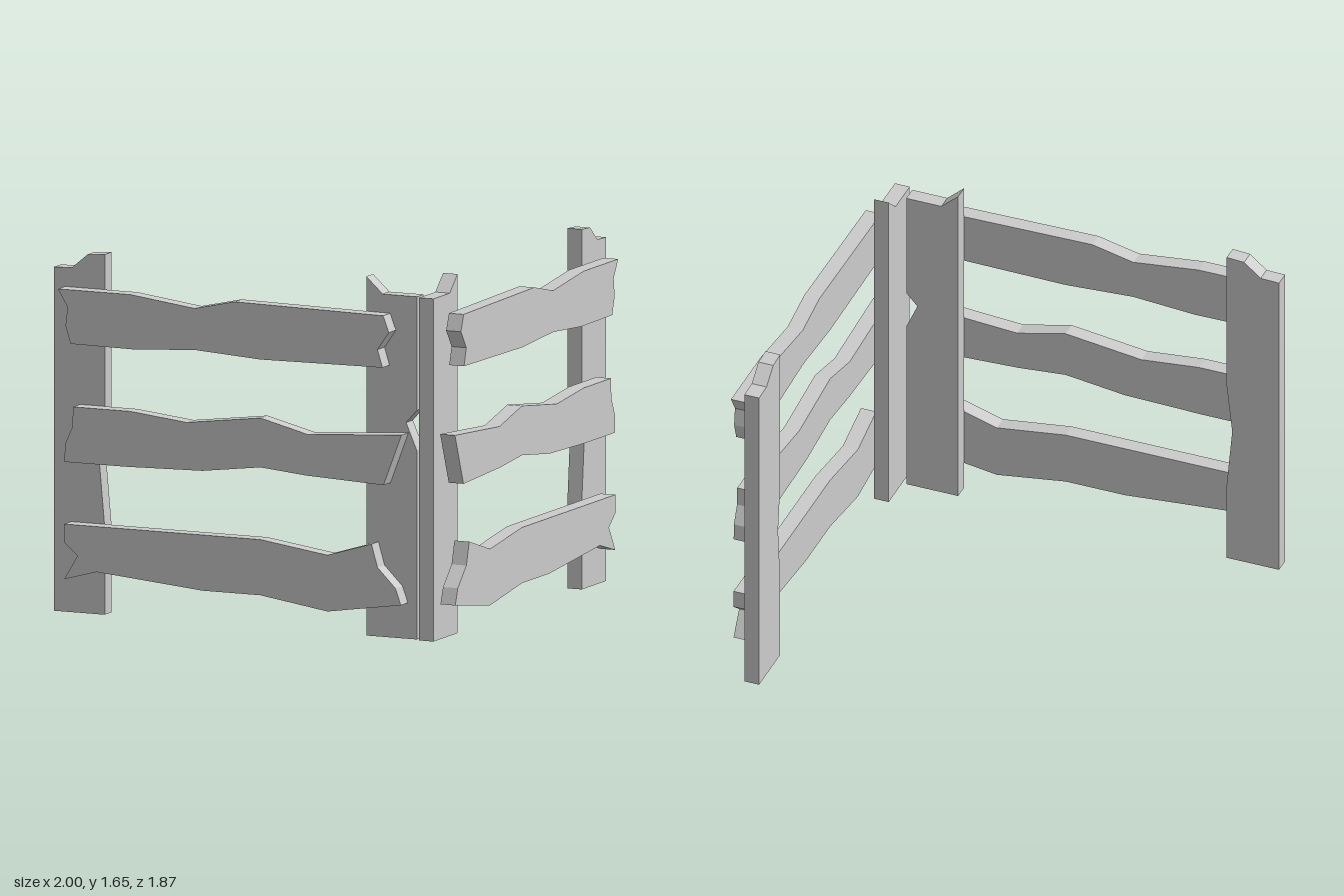
import * as THREE from 'three';

const material = new THREE.MeshStandardMaterial({ color: 0xcccccc, flatShading: true });

// Plank outlines as seen from the outer side of a panel: [along, height]
const posts = {
  endPost: [
    [-1, 0], [-0.745, 0], [-0.745, 0.4], [-0.772, 0.7], [-0.745, 0.94], [-0.745, 1.65],
    [-0.83, 1.645], [-0.91, 1.578], [-1, 1.575],
  ],
  cornerPost: [[0.563, 0], [0.816, 0], [0.816, 1.57], [0.645, 1.57], [0.563, 1.645]],
};
// The front panel's corner post has a chipped edge
const chippedPost = [
  [0.563, 0], [0.816, 0], [0.816, 0.865], [0.762, 0.99], [0.816, 1.05], [0.816, 1.57],
  [0.645, 1.57], [0.563, 1.645],
];
const rails = {
  topRail: [
    [-0.943, 1.49], [-0.58, 1.49], [-0.26, 1.45], [-0.06, 1.495], [0.683, 1.485], [0.712, 1.41],
    [0.655, 1.328], [0.68, 1.247], [0.07, 1.24], [-0.26, 1.26], [-0.56, 1.24], [-0.88, 1.243],
    [-0.905, 1.325], [-0.895, 1.41],
  ],
  middleRail: [
    [-0.868, 0.955], [-0.58, 0.955], [-0.3, 0.925], [0.07, 0.972], [0.305, 0.914], [0.775, 0.945],
    [0.685, 0.709], [0.3, 0.725], [0.07, 0.746], [-0.22, 0.709], [-0.6, 0.7], [-0.91, 0.7],
    [-0.908, 0.78], [-0.87, 0.865],
  ],
  bottomRail: [
    [-0.912, 0.415], [0.07, 0.415], [0.405, 0.368], [0.625, 0.435], [0.655, 0.33], [0.745, 0.24],
    [0.772, 0.165], [0.405, 0.11], [0.07, 0.16], [-0.22, 0.16], [-0.75, 0.207], [-0.912, 0.162],
    [-0.845, 0.275], [-0.912, 0.33],
  ],
};

// Cuts one plank from its outline, mirrored along its length when dir is -1
function plank(name, outline, dir, from, to) {
  const shape = new THREE.Shape(outline.map(([u, y]) => new THREE.Vector2(u * dir, y)));
  const geometry = new THREE.ExtrudeGeometry(shape, { depth: to - from, bevelEnabled: false });
  geometry.translate(0, 0, from);
  const mesh = new THREE.Mesh(geometry, material);
  mesh.name = name;
  return mesh;
}

// Two posts with three rails nailed to their outer faces
function panel(name, postOutlines, dir, postBack, railBack) {
  const group = new THREE.Group();
  group.name = name;
  for (const [part, outline] of Object.entries(postOutlines)) {
    group.add(plank(part, outline, dir, postBack, postBack + 0.072));
  }
  for (const [part, outline] of Object.entries(rails)) {
    group.add(plank(part, outline, dir, railBack, railBack + 0.074));
  }
  return group;
}

export function createModel() {
  const model = new THREE.Group();
  model.name = 'cornerFence';

  model.add(panel('frontPanel', { ...posts, cornerPost: chippedPost }, 1, 0.786, 0.86));

  // The side panel is the mirrored front panel turned to face +x
  const side = panel('sidePanel', posts, -1, 0.836, 0.922);
  side.rotation.y = Math.PI / 2;
  side.position.z = 0.061;
  model.add(side);

  return model;
}
